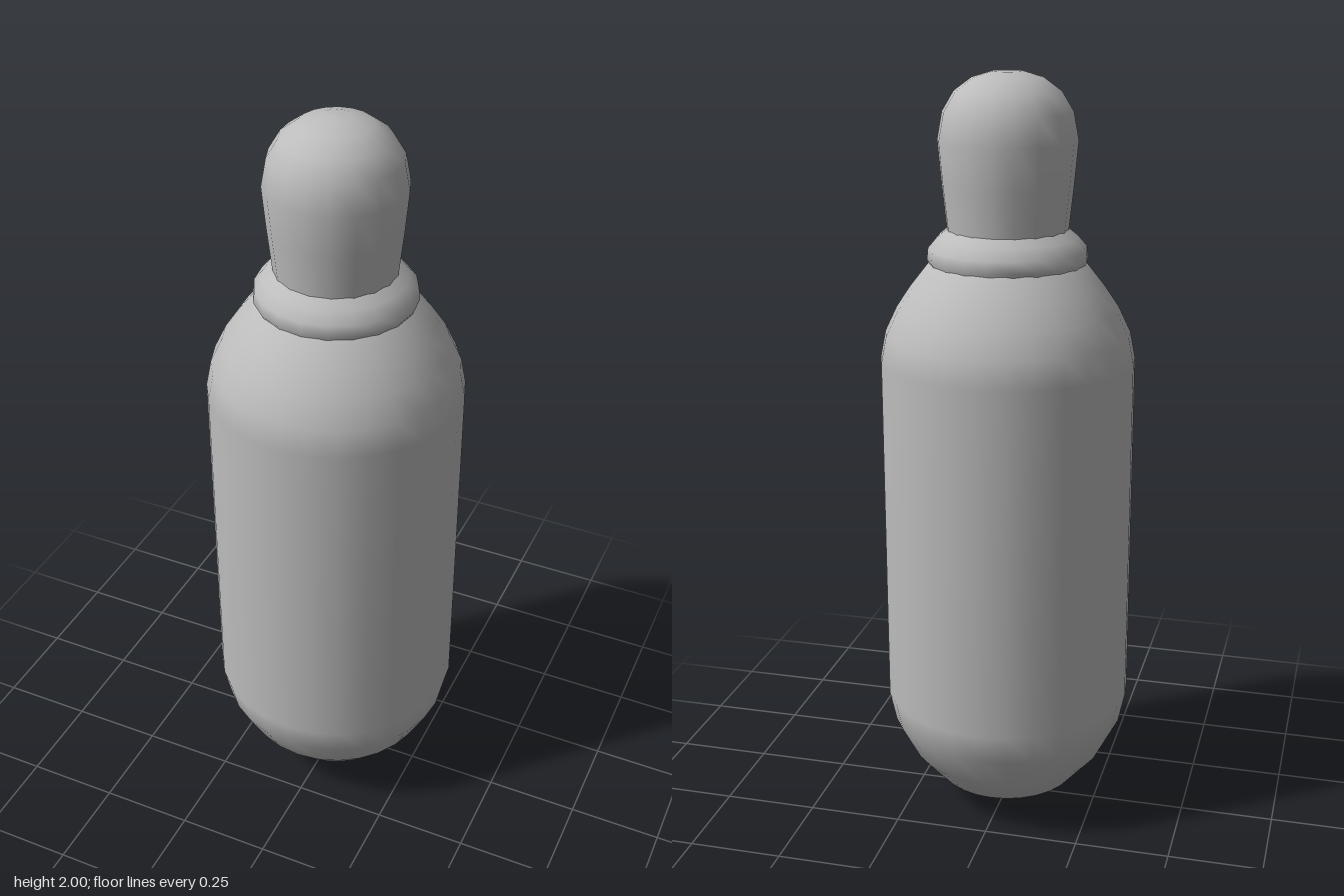
import * as THREE from 'three';

const steel = new THREE.MeshStandardMaterial({ color: 0xbcbcbc });
steel.name = 'grey steel';

// Revolve a profile of [radius, height] pairs, listed from bottom to top
function turned(name, profile, sides) {
  const points = profile.map(([r, y]) => new THREE.Vector2(r, y));
  const mesh = new THREE.Mesh(new THREE.LatheGeometry(points, sides), steel);
  mesh.name = name;
  return mesh;
}

export function createModel() {
  const model = new THREE.Group();
  model.name = 'gasCylinder';

  // Long tank with a round base and sloping shoulders
  const tank = turned('tank', [
    [0, 0], [0.1, 0.018], [0.19, 0.07], [0.265, 0.155], [0.315, 0.25], [0.332, 0.33],
    [0.332, 1.27], [0.318, 1.34], [0.287, 1.405], [0.25, 1.46], [0.195, 1.53], [0.15, 1.56],
  ], 28);

  // Neck ring swelling out above the shoulder
  const collar = turned('neckRing', [
    [0.19, 1.5], [0.207, 1.53], [0.204, 1.56], [0.18, 1.588], [0.15, 1.612],
  ], 20);

  // Domed valve cap, slightly narrower at its foot
  const cap = turned('valveCap', [
    [0.153, 1.57], [0.156, 1.61], [0.168, 1.72], [0.178, 1.83], [0.165, 1.9],
    [0.135, 1.95], [0.09, 1.983], [0.04, 1.998], [0, 2],
  ], 18);

  model.add(tank, collar, cap);
  return model;
}
